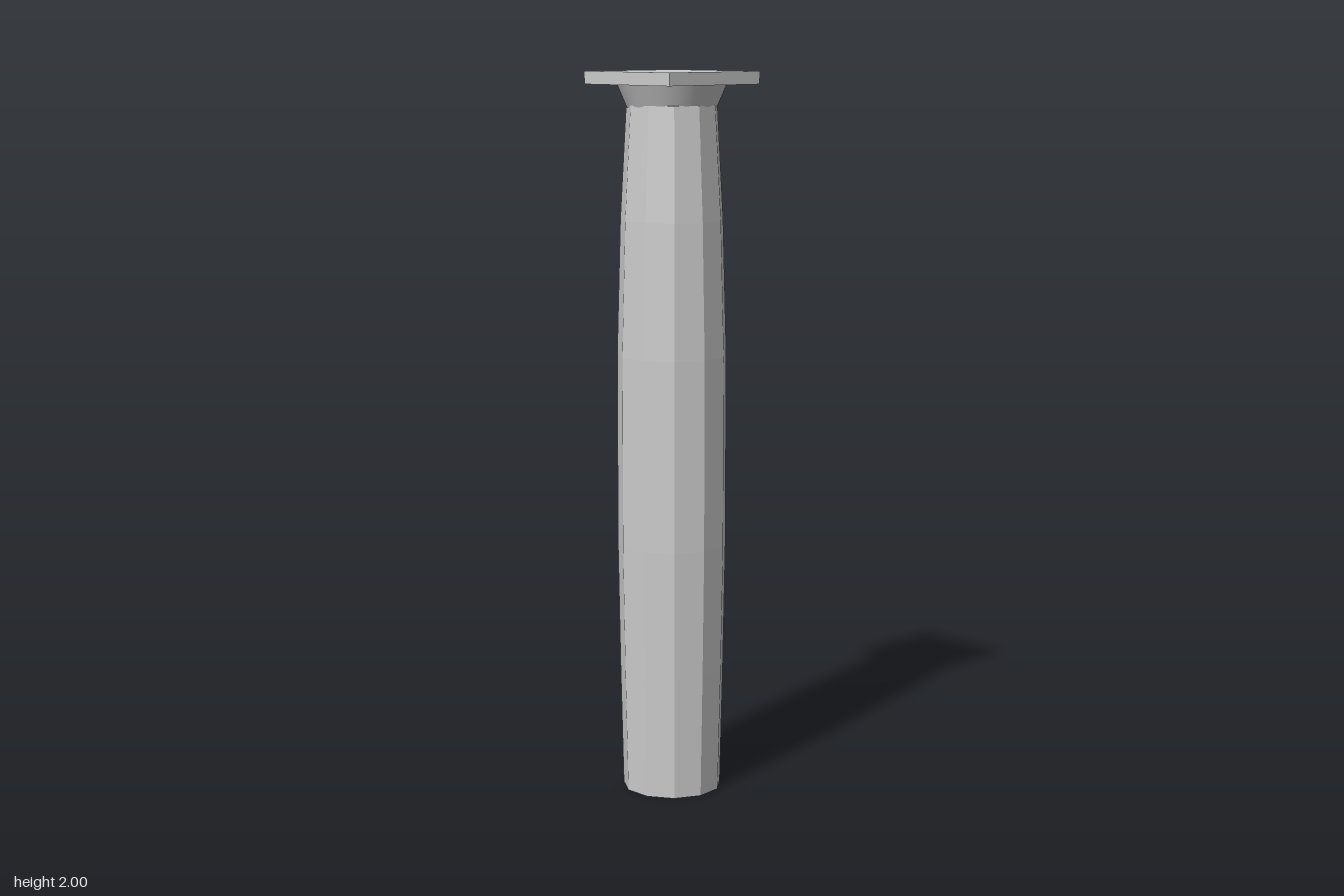
import * as THREE from 'three';

const SIDES = 11;

export function createModel() {
  const model = new THREE.Group();
  const flat = new THREE.MeshStandardMaterial({ color: 0xcccccc, flatShading: true });
  const smooth = new THREE.MeshStandardMaterial({ color: 0xcccccc });

  const add = (name, geometry, material, x, y, z) => {
    const mesh = new THREE.Mesh(geometry, material);
    mesh.name = name;
    mesh.position.set(x, y, z);
    model.add(mesh);
  };

  // Faceted shaft with a gentle swelling, closed at both ends: [radius, height]
  const profile = [
    [0, 0], [0.138, 0], [0.146, 0.35], [0.152, 0.7],
    [0.152, 1.23], [0.142, 1.6], [0.125, 1.91], [0, 1.91],
  ].map(([r, y]) => new THREE.Vector2(r, y));
  add('shaft', new THREE.LatheGeometry(profile, SIDES, Math.PI / 2), flat, -0.003, 0, 0.004);

  // Round flared cushion under the top slab
  add('echinus', new THREE.CylinderGeometry(0.15, 0.122, 0.065, 40), smooth, 0, 1.9345, 0);

  // Square top slab
  add('abacus', new THREE.BoxGeometry(0.335, 0.035, 0.335), flat, 0, 1.9825, 0);

  return model;
}
